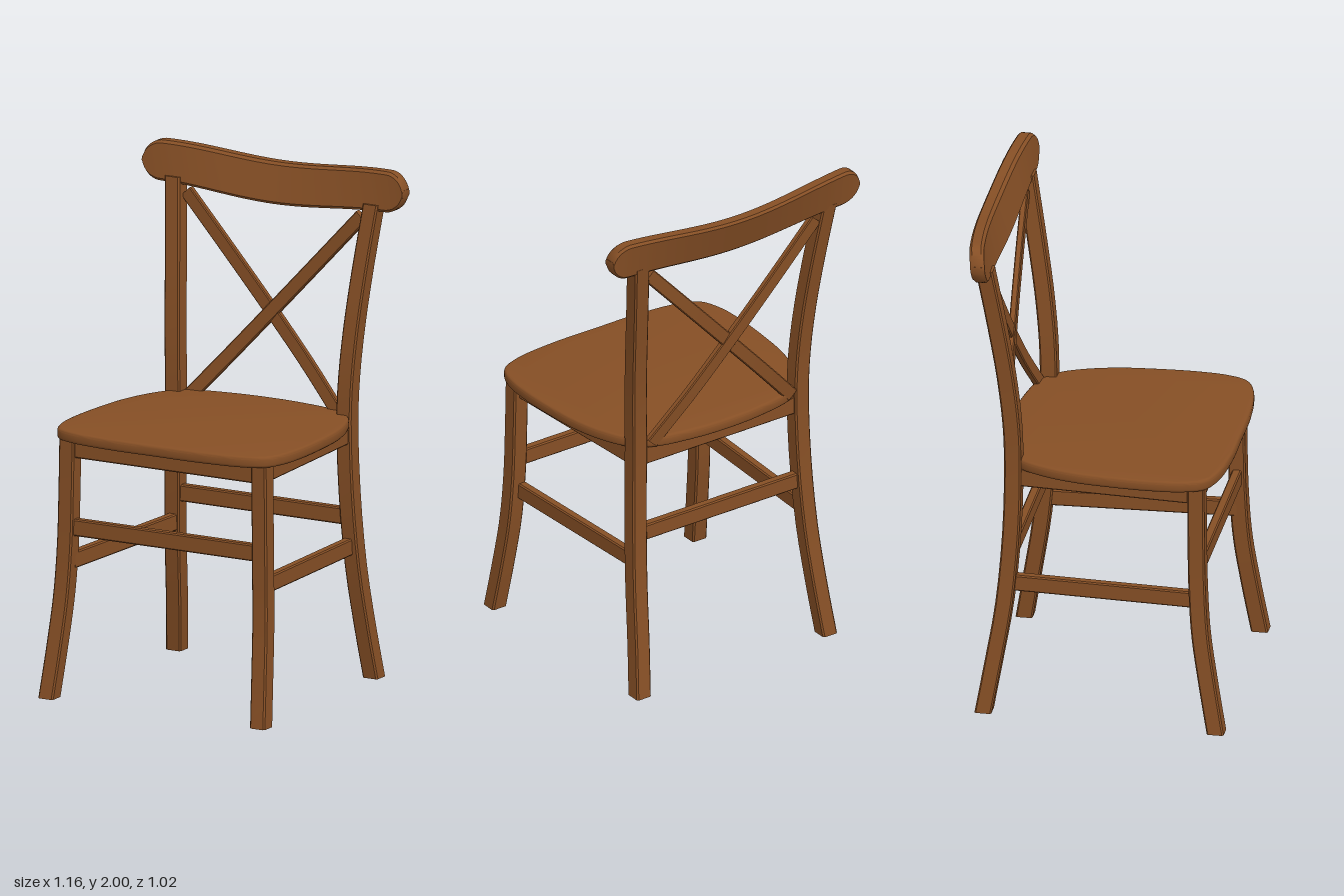
import * as THREE from 'three';
import { toCreasedNormals } from 'three/addons/utils/BufferGeometryUtils.js';

const V3 = (x, y, z) => new THREE.Vector3(x, y, z);
const X = V3(1, 0, 0), Y = V3(0, 1, 0), Z = V3(0, 0, 1);

// Rectangle with chamfered corners, spanned by axes U and V around a centre
function ring(c, U, V, w, d, bevel = 0.006) {
  const a = w / 2, b = d / 2, e = Math.min(bevel, a * 0.6, b * 0.6);
  return [[a, -b + e], [a, b - e], [a - e, b], [-a + e, b], [-a, b - e], [-a, -b + e], [-a + e, -b], [a - e, -b]]
    .map(([u, v]) => c.clone().addScaledVector(U, u).addScaledVector(V, v));
}

// Skin a row of rings and close both ends
function loft(rings, crease = 0.5) {
  const n = rings[0].length, pts = rings.flat(), idx = [];
  for (let i = 0; i < rings.length - 1; i++) {
    for (let j = 0; j < n; j++) {
      const a = i * n + j, b = i * n + (j + 1) % n;
      idx.push(a, b, b + n, a, b + n, a + n);
    }
  }
  const last = (rings.length - 1) * n;
  for (let j = 1; j < n - 1; j++) {
    idx.push(0, j + 1, j, last, last + j, last + j + 1);
  }
  const g = new THREE.BufferGeometry().setFromPoints(pts);
  g.setIndex(idx);
  return toCreasedNormals(g, crease);
}

export function createModel() {
  const model = new THREE.Group();
  model.name = 'chair';
  const wood = new THREE.MeshStandardMaterial({ color: 0x85501f });
  wood.color.set(0x864f25);
  wood.name = 'brown wood';
  const add = (name, geo) => {
    const m = new THREE.Mesh(geo, wood);
    m.name = name;
    model.add(m);
    return m;
  };

  // Curved leg with level square sections, from the floor up
  const leg = (name, points, s, size) => {
    const curve = new THREE.CatmullRomCurve3(points.map(([x, y, z]) => V3(s * x, y, z)));
    add(name, loft(curve.getPoints(24).map(p => ring(p, Z, X, size, size))));
  };
  // Straight level bar between two points
  const bar = (name, a, b, height, thick) => {
    const D = b.clone().sub(a).normalize();
    const V = D.clone().cross(Y);
    add(name, loft([a, b].map(p => ring(p, Y, V, height, thick, 0.005))));
  };

  // Seat: rounded outline, softened edge
  const half = [[0.2, 0.49], [0.38, 0.468], [0.46, 0.43], [0.495, 0.35], [0.507, 0.22], [0.5, 0.05],
    [0.485, -0.08], [0.45, -0.205], [0.4, -0.3], [0.32, -0.36], [0.16, -0.395]];
  const outline = [[0, 0.491], ...half, [0, -0.405], ...half.slice().reverse().map(([x, z]) => [-x, z])];
  const seatCurve = new THREE.CatmullRomCurve3(outline.map(([x, z]) => V3(x, z, 0)), true);
  const seatShape = new THREE.Shape(seatCurve.getPoints(120).slice(0, -1).map(p => new THREE.Vector2(p.x, p.y)));
  const seatGeo = new THREE.ExtrudeGeometry(seatShape, {
    depth: 0.021, bevelThickness: 0.012, bevelSize: 0.012, bevelOffset: -0.012, bevelSegments: 3,
  });
  seatGeo.rotateX(Math.PI / 2);
  seatGeo.translate(0, 1.043, 0);
  add('seat', toCreasedNormals(seatGeo, 0.6));

  for (const s of [1, -1]) {
    const side = s > 0 ? 'left' : 'right';
    // Front leg, flaring out at the foot
    leg(side + 'FrontLeg', [[0.47, 0, 0.478], [0.455, 0.2, 0.443], [0.442, 0.4, 0.413], [0.433, 0.6, 0.4],
      [0.429, 0.8, 0.396], [0.426, 1.015, 0.394]], s, 0.066);
    // Back leg running on up into the back post
    leg(side + 'BackLeg', [[0.437, 0, -0.432], [0.418, 0.2, -0.398], [0.4, 0.45, -0.358], [0.386, 0.75, -0.333],
      [0.38, 1.03, -0.327], [0.385, 1.2, -0.332], [0.397, 1.4, -0.352], [0.415, 1.62, -0.385], [0.44, 1.87, -0.427]], s, 0.066);
    // Side rails
    bar(side + 'SideApron', V3(s * 0.42, 0.978, 0.39), V3(s * 0.38, 0.978, -0.32), 0.076, 0.04);
    bar(side + 'SideStretcher', V3(s * 0.42, 0.532, 0.395), V3(s * 0.388, 0.532, -0.34), 0.066, 0.036);
    // Curved diagonal of the back
    const path = new THREE.CatmullRomCurve3([V3(-s * 0.33, 1.035, -0.354), V3(-s * 0.17, 1.21, -0.385),
      V3(s * 0.01, 1.405, -0.404), V3(s * 0.2, 1.61, -0.416), V3(s * 0.39, 1.815, -0.424)]);
    const D = V3(s * 0.72, 0.78, 0).normalize();
    const U = Z.clone().cross(D);
    add(side + 'CrossBar', loft(path.getPoints(16).map(p => ring(p.setZ(p.z + s * 0.002), U, Z, 0.055, 0.026, 0.004))));
  }

  // Front and back rails
  bar('frontApron', V3(-0.41, 0.978, 0.395), V3(0.41, 0.978, 0.395), 0.076, 0.04);
  bar('backApron', V3(-0.37, 0.978, -0.328), V3(0.37, 0.978, -0.328), 0.076, 0.04);
  bar('frontStretcher', V3(-0.42, 0.665, 0.398), V3(0.42, 0.665, 0.398), 0.066, 0.036);
  bar('backStretcher', V3(-0.385, 0.648, -0.338), V3(0.385, 0.648, -0.338), 0.066, 0.036);

  // Top rail: bowed back, leaning in the middle, with round ends
  const rings = [];
  for (let i = 0; i <= 56; i++) {
    const x = 0.578 * Math.sin((i / 56 - 0.5) * Math.PI), ax = Math.abs(x);
    const k = 0.5 + 0.5 * Math.cos(Math.PI * Math.min(1, ax / 0.52));
    const e = Math.max(0, (ax - 0.5) / 0.078);
    const h = Math.max(0.03, 0.154 * Math.sqrt(Math.max(0, 1 - e * e)));
    const bow = 1 - (ax / 0.578) ** 2;
    const U = V3(0, 1, -0.1 - 0.22 * bow);
    rings.push(ring(V3(x, 1.923 - 0.031 * k, -0.432 - 0.023 * bow), U, Z, h, 0.056, 0.01));
  }
  add('topRail', loft(rings, 0.6));

  return model;
}
